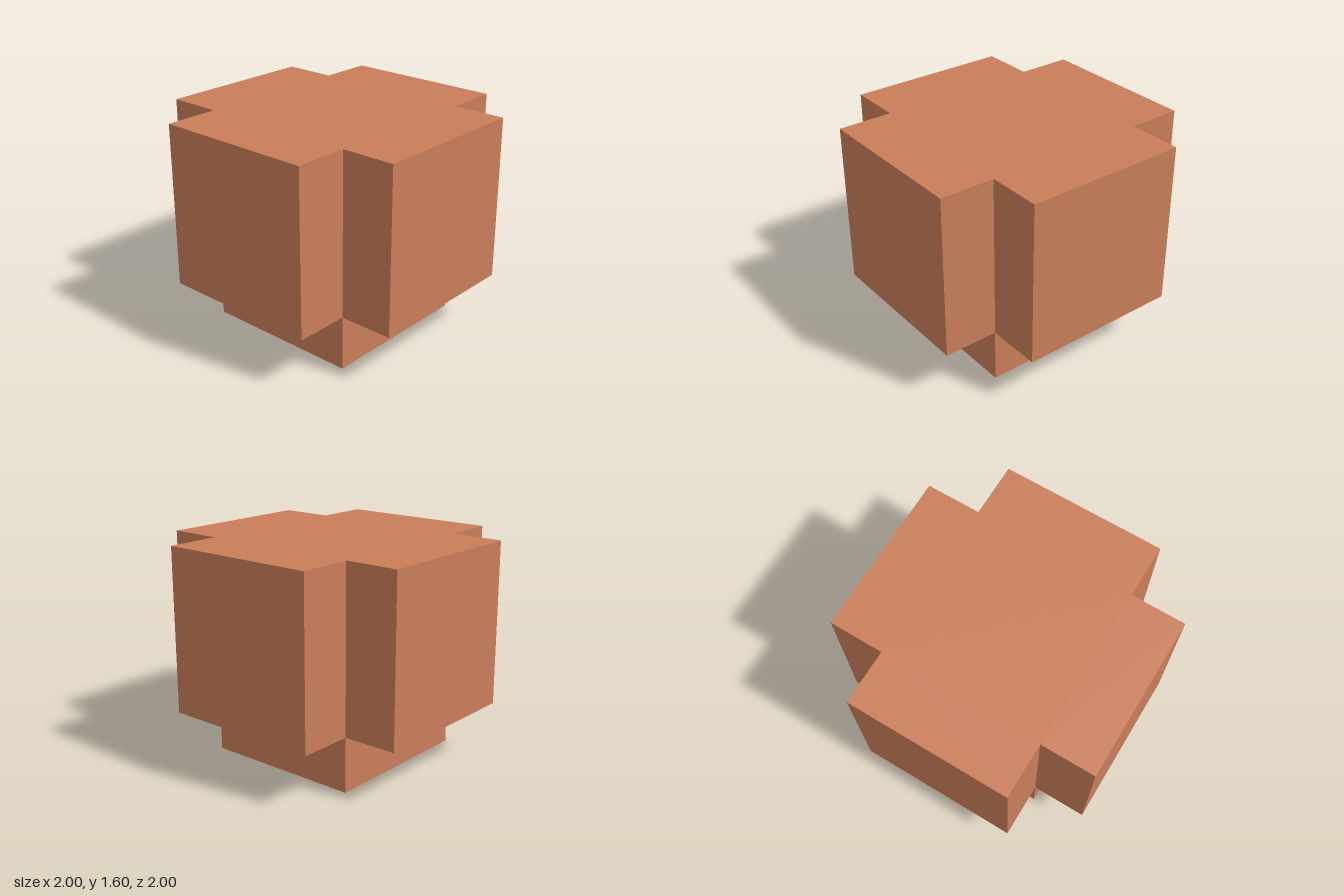
import * as THREE from 'three';

export function createModel() {
  const group = new THREE.Group();
  group.name = 'crossBlock';
  const clay = new THREE.MeshStandardMaterial({ color: 0xc97e59 });
  clay.name = 'clay';

  const R = 1, W = 0.6;          // arm reach and half width
  const baseHeight = 0.4, bodyHeight = 1.2;

  // Plus-shaped body: three outline corners per arm, turned four times
  const outline = [];
  for (let i = 0; i < 4; i++) {
    for (const [x, y] of [[R, -W], [R, W], [W, W]]) {
      outline.push(new THREE.Vector2(x, y).rotateAround(new THREE.Vector2(), i * Math.PI / 2));
    }
  }
  const bodyGeometry = new THREE.ExtrudeGeometry(new THREE.Shape(outline), {
    depth: bodyHeight, bevelEnabled: false,
  });
  bodyGeometry.rotateX(-Math.PI / 2);
  const body = new THREE.Mesh(bodyGeometry, clay);
  body.name = 'crossBody';
  body.position.y = baseHeight;
  group.add(body);

  // Square foot under the centre
  const base = new THREE.Mesh(new THREE.BoxGeometry(2 * W, baseHeight, 2 * W), clay);
  base.name = 'squareBase';
  base.position.y = baseHeight / 2;
  group.add(base);

  return group;
}
